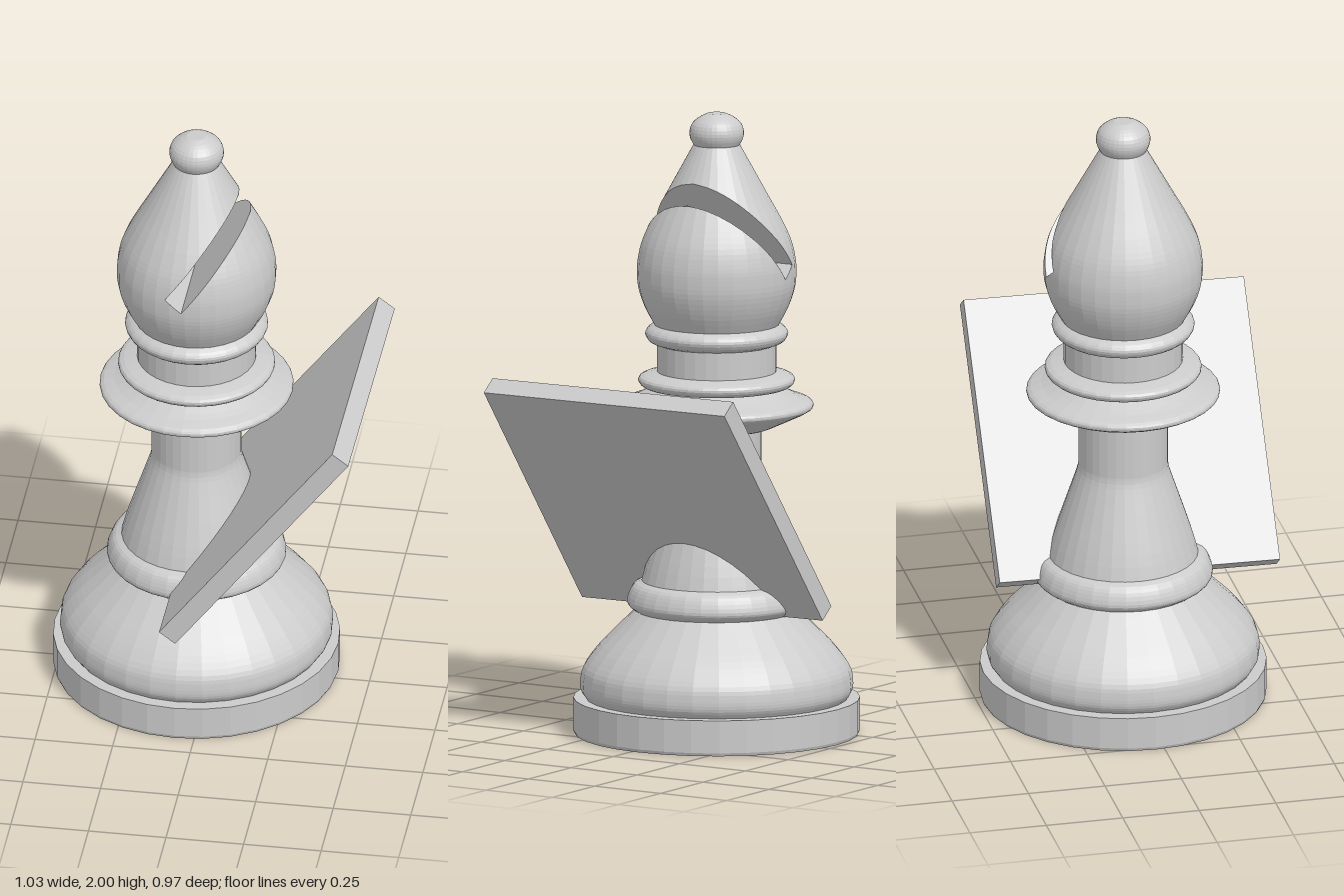
import * as THREE from 'three';

const CX = -0.062, CZ = -0.03;      // axis of the turned piece
const SIDES = 32;
const TILT = 0.923;                 // slope shared by the slot and the plate
const grey = new THREE.MeshStandardMaterial({ color: 0xcccccc, flatShading: true });
const greyBoth = new THREE.MeshStandardMaterial({ color: 0xcccccc, flatShading: true, side: THREE.DoubleSide });

const toPoints = (list) => list.map(([r, y]) => new THREE.Vector2(r, y));
const smooth = (list, n) => new THREE.SplineCurve(toPoints(list)).getPoints(n);

function addMesh(group, name, geometry, material = grey) {
  const mesh = new THREE.Mesh(geometry, material);
  mesh.name = name;
  group.add(mesh);
  return mesh;
}

// Keep the part of a polygon where f(p) >= 0
function clip(poly, f) {
  const out = [];
  poly.forEach((a, i) => {
    const b = poly[(i + 1) % poly.length], fa = f(a), fb = f(b);
    if (fa >= 0) out.push(a);
    if (fa * fb < 0) out.push(a.clone().lerp(b, fa / (fa - fb)));
  });
  return out;
}

function fromTriangles(points) {
  const g = new THREE.BufferGeometry().setFromPoints(points);
  g.computeVertexNormals();
  return g;
}

export function createModel() {
  const model = new THREE.Group();
  const piece = new THREE.Group();
  piece.name = 'turnedPiece';
  piece.position.set(CX, 0, CZ);
  model.add(piece);

  // Turned sections, bottom to top: [radius, height]
  const sections = {
    base: toPoints([[0, 0], [0.453, 0], [0.457, 0.01], [0.457, 0.115], [0.41, 0.115]]),
    body: smooth([[0.418, 0.115], [0.433, 0.14], [0.434, 0.175], [0.423, 0.217], [0.38, 0.276],
      [0.32, 0.338], [0.26, 0.398]], 20),
    footRing: smooth([[0.26, 0.398], [0.28, 0.413], [0.286, 0.43], [0.277, 0.46], [0.262, 0.482], [0.235, 0.495]], 12),
    stemFlare: smooth([[0.24, 0.49], [0.224, 0.55], [0.195, 0.64], [0.163, 0.735], [0.147, 0.785], [0.143, 0.81]], 12),
    stem: toPoints([[0.143, 0.81], [0.143, 0.985]]),
    collar: [...toPoints([[0.143, 0.985], [0.165, 0.985]]),
      ...smooth([[0.18, 0.99], [0.25, 1.022], [0.298, 1.045], [0.309, 1.058], [0.3, 1.073], [0.255, 1.09], [0.205, 1.115]], 16)],
    collarRing: smooth([[0.205, 1.115], [0.235, 1.121], [0.25, 1.138], [0.24, 1.155], [0.19, 1.168]], 10),
    neck: toPoints([[0.19, 1.16], [0.19, 1.257]]),
    neckRing: smooth([[0.19, 1.257], [0.216, 1.268], [0.228, 1.29], [0.219, 1.308], [0.198, 1.322]], 10),
    finial: [...smooth([[0.074, 1.9], [0.084, 1.92], [0.087, 1.942], [0.078, 1.968], [0.055, 1.988], [0.03, 2]], 12),
      new THREE.Vector2(0, 2)],
  };
  for (const [name, points] of Object.entries(sections))
    addMesh(piece, name, new THREE.LatheGeometry(points, SIDES));

  // Head with a slanted slot cut into its left side
  const headProfile = smooth([[0.198, 1.318], [0.23, 1.378], [0.25, 1.44], [0.254, 1.495], [0.25, 1.54],
    [0.236, 1.595], [0.206, 1.66], [0.163, 1.738], [0.118, 1.82], [0.074, 1.9]], 32);
  const half = 0.034, ox = -0.1 - CX, oy = 1.504;
  const c = Math.cos(TILT), s = Math.sin(TILT);
  const along = (p) => (p.x - ox) * c + (p.y - oy) * s;
  const across = (p) => (p.y - oy) * c - (p.x - ox) * s;
  const above = (p) => across(p) - half;
  const below = (p) => -half - across(p);

  const source = new THREE.LatheGeometry(headProfile, SIDES).toNonIndexed().getAttribute('position');
  const skin = [];
  for (let i = 0; i < source.count; i += 3) {
    const tri = [0, 1, 2].map((k) => new THREE.Vector3().fromBufferAttribute(source, i + k));
    const middle = clip(clip(clip(tri, (p) => -above(p)), (p) => -below(p)), (p) => -along(p));
    for (const poly of [clip(tri, above), clip(tri, below), middle])
      for (let k = 2; k < poly.length; k++) skin.push(poly[0], poly[k - 1], poly[k]);
  }
  addMesh(piece, 'head', fromTriangles(skin));

  // Slot walls: strips spanning the round section of the head
  const radiusAt = (y) => {
    const k = Math.max(1, headProfile.findIndex((p) => p.y >= y));
    const a = headProfile[k - 1], b = headProfile[k];
    return THREE.MathUtils.lerp(a.x, b.x, (y - a.y) / (b.y - a.y)) * 0.998;
  };
  function wall(name, u0, v0, u1, v1, n) {
    const pts = [];
    let last = null;
    for (let i = 0; i <= n; i++) {
      const u = u0 + (u1 - u0) * i / n, v = v0 + (v1 - v0) * i / n;
      const x = ox + u * c - v * s, y = oy + u * s + v * c;
      const z = Math.sqrt(Math.max(0, radiusAt(y) ** 2 - x * x));
      const row = [new THREE.Vector3(x, y, z), new THREE.Vector3(x, y, -z)];
      if (last) pts.push(last[0], row[0], last[1], row[0], row[1], last[1]);
      last = row;
      if (z === 0) break;
    }
    addMesh(piece, name, fromTriangles(pts), greyBoth);
  }
  wall('slotUpperWall', 0, half, 0.45, half, 90);
  wall('slotLowerWall', 0, -half, 0.45, -half, 90);
  wall('slotEnd', 0, -half, 0, half, 4);

  // Slanted plate passing through the stem
  const plate = addMesh(model, 'slantedPlate', new THREE.BoxGeometry(0.928, 0.065, 0.915));
  plate.position.set(0.205, 0.786, 0.022);
  plate.rotation.set(0, -0.013, TILT, 'ZYX');

  return model;
}
